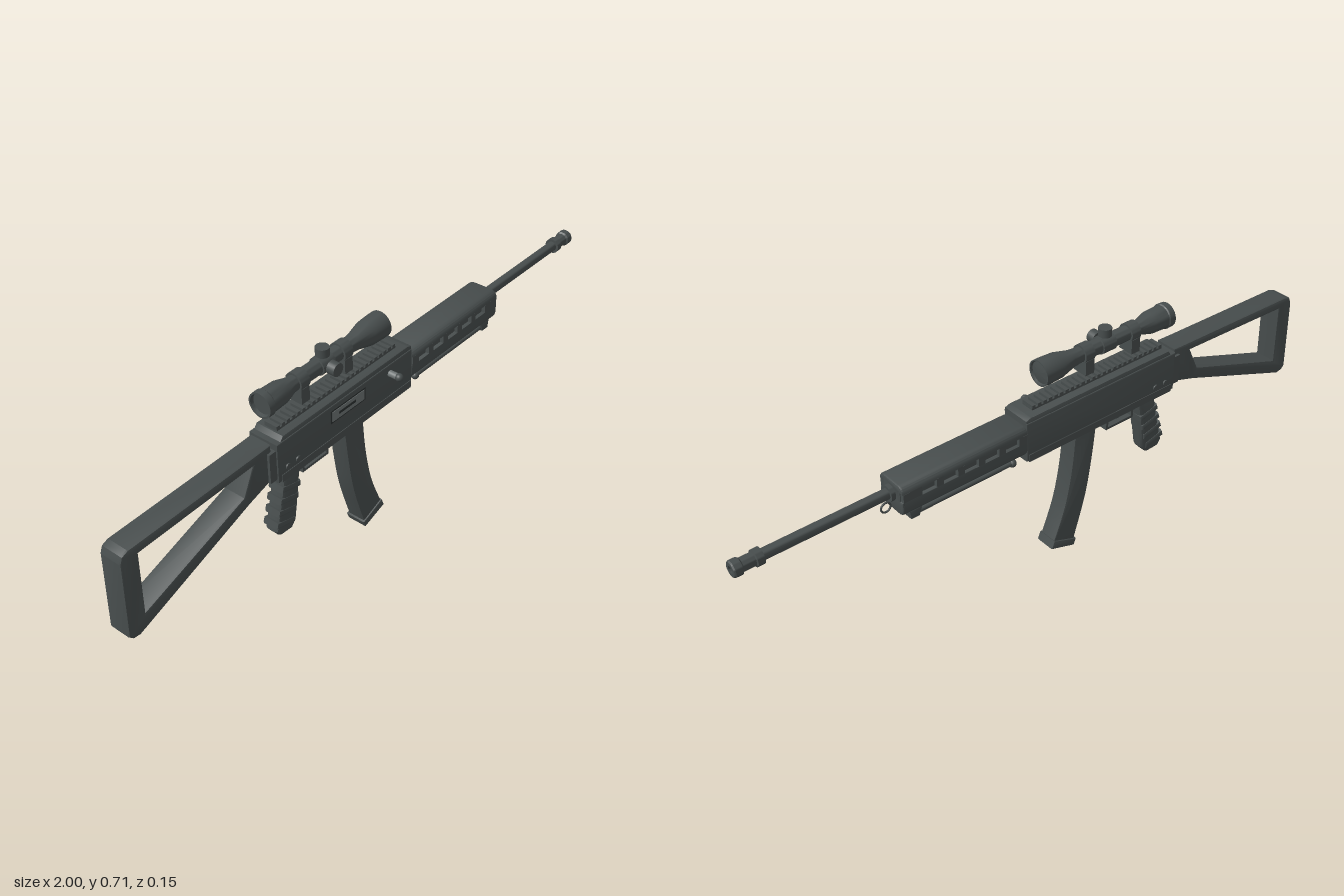
import * as THREE from 'three';
import { toCreasedNormals } from 'three/addons/utils/BufferGeometryUtils.js';

export function createModel() {
  const model = new THREE.Group();
  model.name = 'scopedRifle';
  const body = new THREE.MeshStandardMaterial({ name: 'gunmetal', color: 0x474d4d });
  const steel = new THREE.MeshStandardMaterial({ name: 'bareSteel', color: 0x6c7272 });
  const dark = new THREE.MeshStandardMaterial({ name: 'darkRecess', color: 0x2c3030 });

  const add = (name, geo, x = 0, y = 0, z = 0, mat = body) => {
    const m = new THREE.Mesh(geo, mat);
    m.name = name;
    m.position.set(x, y, z);
    model.add(m);
    return m;
  };
  // Box given by its limits in x and y, and its width and centre in z
  const box = (name, x0, x1, y0, y1, w, z = 0, mat = body) =>
    add(name, new THREE.BoxGeometry(x1 - x0, y1 - y0, w), (x0 + x1) / 2, (y0 + y1) / 2, z, mat);
  const vecs = (pts) => pts.map(([x, y]) => new THREE.Vector2(x, y));
  // Side profile extruded across the width, with bevelled edges
  const slab = (pts, w, bevel, holes = []) => {
    const shape = new THREE.Shape(vecs(pts));
    holes.forEach((h) => shape.holes.push(new THREE.Path(vecs(h))));
    const g = new THREE.ExtrudeGeometry(shape, {
      depth: w - 2 * bevel, bevelEnabled: bevel > 0, bevelThickness: bevel,
      bevelSize: bevel, bevelOffset: -bevel, bevelSegments: 2, curveSegments: 8,
    });
    g.translate(0, 0, bevel - w / 2);
    return toCreasedNormals(g, 0.5);
  };
  // Cross-section in (z, y) extruded along x
  const beam = (shape, length) => {
    const g = new THREE.ExtrudeGeometry(shape, {
      depth: length - 0.012, bevelThickness: 0.006, bevelSize: 0.006, bevelOffset: -0.006,
      bevelSegments: 2, curveSegments: 6,
    });
    g.translate(0, 0, 0.006);
    return toCreasedNormals(g.rotateY(Math.PI / 2), 0.5);
  };
  // Turned part along x from [x, radius] pairs
  const turned = (pts) => toCreasedNormals(
    new THREE.LatheGeometry(pts.map(([x, r]) => new THREE.Vector2(r, x)), 32).rotateZ(-Math.PI / 2), 0.6);
  const rodZ = (r, l) => new THREE.CylinderGeometry(r, r, l, 24).rotateX(Math.PI / 2);

  // Skeleton stock and its hinge
  add('stock', slab(
    [[-1, 0.275], [-0.988, 0.262], [-0.965, 0.259], [-0.56, 0.41], [-0.47, 0.438], [-0.47, 0.553],
      [-0.53, 0.551], [-0.965, 0.543], [-0.985, 0.535], [-0.993, 0.515]],
    0.073, 0.006,
    [[[-0.94, 0.317], [-0.935, 0.513], [-0.54, 0.524], [-0.578, 0.444]]]));
  box('stockHinge', -0.487, -0.45, 0.437, 0.532, 0.09);

  // Receiver
  add('receiver', slab(
    [[-0.462, 0.424], [0.107, 0.424], [0.107, 0.552], [-0.462, 0.552]], 0.1, 0.004));
  add('receiverCover', slab(
    [[-0.45, 0.545], [0.107, 0.545], [0.107, 0.56], [0.09, 0.566], [-0.435, 0.566]], 0.094, 0.003));
  box('lowerReceiver', -0.45, 0.1, 0.422, 0.446, 0.104);
  for (const side of [-1, 1])
    for (const x of [-0.425, -0.385])
      add('receiverPin', rodZ(0.009, 0.006), x, 0.462, side * 0.051);

  // Ejection port and charging handle
  box('portFrame', -0.252, -0.106, 0.497, 0.539, 0.004, 0.0505, dark);
  box('ejectionPort', -0.246, -0.112, 0.502, 0.534, 0.005, 0.0515, steel);
  box('portSlot', -0.22, -0.15, 0.515, 0.523, 0.003, 0.0535, dark);
  add('chargingRod', rodZ(0.01, 0.045), 0.005, 0.523, 0.063, steel);
  add('chargingKnob', new THREE.SphereGeometry(0.0125, 20, 14), 0.005, 0.523, 0.0835);

  // Top rail with teeth
  box('railBase', -0.43, 0.065, 0.562, 0.572, 0.043);
  for (let i = 0; i < 25; i++) {
    const x = -0.43 + i * 0.0201;
    box('railTooth', x, x + 0.012, 0.571, 0.58, 0.043);
  }

  // Handguard: notched section, with fillers between the vent slots
  const guard = new THREE.Shape();
  const W = 0.0525, R = 0.023, B = 0.447, T = 0.542, D = 0.012;
  guard.moveTo(-W + R, B);
  guard.lineTo(W - R, B);
  guard.quadraticCurveTo(W, B, W, B + R);
  for (const [x, y] of [[W, 0.494], [W - D, 0.494], [W - D, 0.519], [W, 0.519]]) guard.lineTo(x, y);
  guard.quadraticCurveTo(W, T, W - R, T);
  guard.lineTo(-W + R, T);
  guard.quadraticCurveTo(-W, T, -W, 0.519);
  for (const [x, y] of [[-W + D, 0.519], [-W + D, 0.494], [-W, 0.494], [-W, B + R]]) guard.lineTo(x, y);
  guard.quadraticCurveTo(-W, B, -W + R, B);
  add('handguard', beam(guard, 0.422), 0.105);
  const slots = [0.16, 0.23, 0.3, 0.37, 0.44];
  for (const side of [-1, 1])
    for (let i = 0; i <= slots.length; i++) {
      const x0 = i ? slots[i - 1] + 0.024 : 0.107;
      const x1 = i < slots.length ? slots[i] - 0.024 : 0.523;
      box('ventBridge', x0, x1, 0.486, 0.521, 0.018, side * (W - 0.009));
    }

  // Barrel and muzzle
  const BY = 0.504;
  add('barrel', turned([[0.5, 0], [0.5, 0.024], [0.54, 0.024], [0.54, 0.016], [0.93, 0.016]]), 0, BY);
  add('muzzle', turned([[0.915, 0.015], [0.915, 0.024], [0.935, 0.024], [0.937, 0.019], [0.972, 0.019],
    [0.976, 0.024], [0.996, 0.024], [1, 0.021], [1, 0.011], [0.96, 0.011], [0.96, 0]]), 0, BY);
  add('slingRing', new THREE.TorusGeometry(0.015, 0.003, 10, 28), 0.547, 0.461);

  // Folded bipod
  for (const side of [-1, 1]) {
    add('bipodLeg', turned([[0.145, 0], [0.145, 0.008], [0.49, 0.008], [0.49, 0]]), 0, 0.431, side * 0.032);
    add('bipodFoot', new THREE.SphereGeometry(0.012, 18, 12), 0.146, 0.429, side * 0.032);
  }
  add('bipodMount', slab(
    [[0.46, 0.45], [0.47, 0.421], [0.497, 0.421], [0.502, 0.45]], 0.088, 0.003));

  // Curved magazine
  const edge = (pts) => new THREE.SplineCurve(vecs(pts)).getPoints(12).map((p) => [p.x, p.y]);
  add('magazine', slab([
    ...edge([[-0.173, 0.44], [-0.157, 0.3], [-0.134, 0.168], [-0.09, 0.02]]),
    ...edge([[-0.01, 0.05], [-0.054, 0.168], [-0.08, 0.3], [-0.092, 0.44]]),
  ], 0.06, 0.004));
  add('magazineFloor', slab(
    [[-0.097, 0.022], [-0.088, 0], [0, 0.03], [-0.01, 0.056]], 0.069, 0.004));

  // Pistol grip with raised bands
  add('grip', slab(
    [[-0.408, 0.43], [-0.34, 0.43], [-0.352, 0.37], [-0.362, 0.3], [-0.374, 0.225], [-0.392, 0.203],
      [-0.44, 0.206], [-0.454, 0.225], [-0.43, 0.32]], 0.05, 0.012));
  for (let i = 0; i < 4; i++) {
    const y = 0.365 - i * 0.037, x = -0.387 - i * 0.0095;
    add('gripBand', slab(
      [[-0.036, 0.008], [0.034, -0.01], [0.032, -0.03], [-0.042, -0.012]], 0.056, 0.007), x, y);
  }

  // Trigger and guard
  box('guardBottom', -0.332, -0.224, 0.36, 0.368, 0.03);
  box('guardFront', -0.232, -0.224, 0.36, 0.428, 0.03);
  box('guardRear', -0.332, -0.324, 0.36, 0.428, 0.03);
  add('trigger', slab(
    [[-0.3, 0.43], [-0.278, 0.43], [-0.283, 0.4], [-0.272, 0.376], [-0.28, 0.374], [-0.295, 0.397]], 0.014, 0.002));

  // Telescopic sight
  const SY = 0.66;
  add('scopeTube', turned([[-0.455, 0], [-0.455, 0.031], [-0.465, 0.033], [-0.465, 0.038], [-0.445, 0.039],
    [-0.442, 0.036], [-0.39, 0.034], [-0.35, 0.023], [-0.12, 0.023], [-0.09, 0.026], [-0.04, 0.038],
    [0.002, 0.04], [0.024, 0.04], [0.024, 0.036], [0.017, 0.034], [0.02, 0.02], [0.021, 0]]), 0, SY);
  for (const x of [-0.319, -0.143]) {
    add('scopeRing', turned([[-0.017, 0.02], [-0.017, 0.029], [0.017, 0.029], [0.017, 0.02]]), x, SY);
    box('scopeRingFoot', x - 0.016, x + 0.016, 0.599, 0.645, 0.052);
  }
  add('turretHub', turned([[-0.026, 0.02], [-0.024, 0.027], [0.024, 0.027], [0.026, 0.02]]), -0.22, SY);
  add('topTurret', new THREE.CylinderGeometry(0.02, 0.02, 0.026, 24), -0.22, 0.699);
  add('topTurretNeck', new THREE.CylinderGeometry(0.014, 0.014, 0.04, 20), -0.22, 0.672);
  add('sideTurret', rodZ(0.02, 0.026), -0.22, SY, 0.042);

  model.children.forEach((c) => { c.position.z -= 0.02; });
  return model;
}
